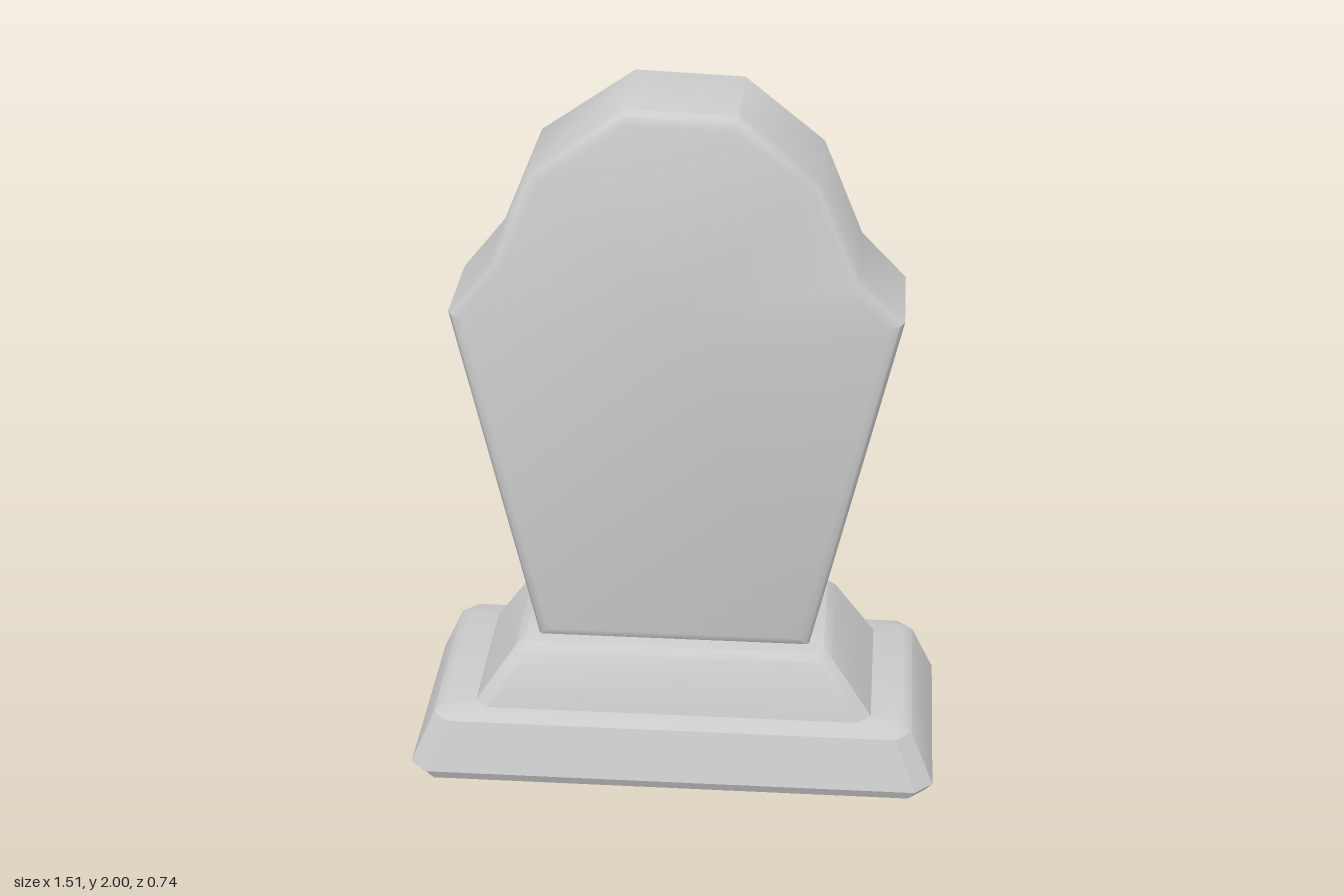
import * as THREE from 'three';
import { toCreasedNormals } from 'three/addons/utils/BufferGeometryUtils.js';

const material = new THREE.MeshStandardMaterial({ color: 0xcccccc });

// Skin closed counter-clockwise rings ({ pts, z }) from back to front, with both ends capped.
function loft(rings, crease = 0.65) {
  const pos = [];
  const n = rings[0].pts.length;
  const at = (r, j) => [...r.pts[j % n], r.z];
  for (let i = 0; i < rings.length - 1; i++) {
    const a = rings[i], b = rings[i + 1];
    for (let j = 0; j < n; j++) {
      pos.push(...at(a, j), ...at(a, j + 1), ...at(b, j + 1));
      pos.push(...at(a, j), ...at(b, j + 1), ...at(b, j));
    }
  }
  const cap = (r, flip) => {
    const c = [0, 1].map(k => r.pts.reduce((s, p) => s + p[k], 0) / n).concat(r.z);
    for (let j = 0; j < n; j++) {
      pos.push(...c, ...at(r, flip ? j + 1 : j), ...at(r, flip ? j : j + 1));
    }
  };
  cap(rings[0], true);
  cap(rings[rings.length - 1], false);
  const geo = new THREE.BufferGeometry();
  geo.setAttribute('position', new THREE.Float32BufferAttribute(pos, 3));
  return toCreasedNormals(geo, crease);
}

// Move every edge of a counter-clockwise outline inwards by d.
function inset(pts, d) {
  const n = pts.length;
  return pts.map((p, i) => {
    const a = pts[(i + n - 1) % n], b = pts[(i + 1) % n];
    const normal = (s, e) => new THREE.Vector2(s[1] - e[1], e[0] - s[0]).normalize();
    const n1 = normal(a, p), n2 = normal(p, b);
    const k = d / (1 + n1.dot(n2));
    return [p[0] + (n1.x + n2.x) * k, p[1] + (n1.y + n2.y) * k];
  });
}

// Rectangle with clipped corners, counter-clockwise.
function clippedRect(w, h, c) {
  return [[w - c, -h], [w, -h + c], [w, h - c], [w - c, h],
    [-w + c, h], [-w, h - c], [-w, -h + c], [-w + c, -h]];
}

function add(group, name, geometry) {
  const mesh = new THREE.Mesh(geometry, material);
  mesh.name = name;
  group.add(mesh);
  return mesh;
}

// Sloping plinth tier; each level is [halfWidth, halfDepth, cornerCut, height].
function tier(levels) {
  return loft(levels.map(([w, d, c, z]) => ({ pts: clippedRect(w, d, c), z })))
    .rotateX(-Math.PI / 2);
}

export function createModel() {
  const group = new THREE.Group();
  group.name = 'gravestone';

  // Two stepped tiers of the plinth
  add(group, 'lowerPlinth', tier([
    [0.735, 0.355, 0.05, 0], [0.755, 0.37, 0.05, 0.03],
    [0.69, 0.33, 0.045, 0.18], [0.66, 0.29, 0.04, 0.2],
  ]));
  add(group, 'upperPlinth', tier([
    [0.575, 0.28, 0.04, 0.195], [0.455, 0.238, 0.03, 0.37], [0.43, 0.22, 0.03, 0.39],
  ]));

  // Coffin-shaped slab: bevelled front, raised rim and sunken panel at the back
  const outline = [[-0.39, 0.385], [0.387, 0.385], [0.625, 1.41], [0.5, 1.54], [0.39, 1.81],
    [0.17, 1.988], [-0.13, 2], [-0.39, 1.82], [-0.5, 1.55], [-0.62, 1.4]];
  const profile = [[0.115, -0.15], [0.095, -0.18], [0.07, -0.192], [0.045, -0.192], [0, -0.145],
    [0, 0.16], [0.012, 0.182], [0.035, 0.192]];
  add(group, 'slab', loft(profile.map(([d, z]) => ({ pts: inset(outline, d), z })), 0.75));

  // Cross standing proud of the sunken panel
  const t = 0.056, arm = 0.205, low = 1.23, high = 1.8, mid = 1.665;
  const cross = new THREE.Shape([
    [-t, low], [t, low], [t, mid - t], [arm, mid - t], [arm, mid + t], [t, mid + t],
    [t, high], [-t, high], [-t, mid + t], [-arm, mid + t], [-arm, mid - t], [-t, mid - t],
  ].map(([x, y]) => new THREE.Vector2(x, y)));
  const geo = new THREE.ExtrudeGeometry(cross, { depth: 0.035, bevelEnabled: false });
  add(group, 'cross', geo).position.z = -0.175;

  return group;
}
